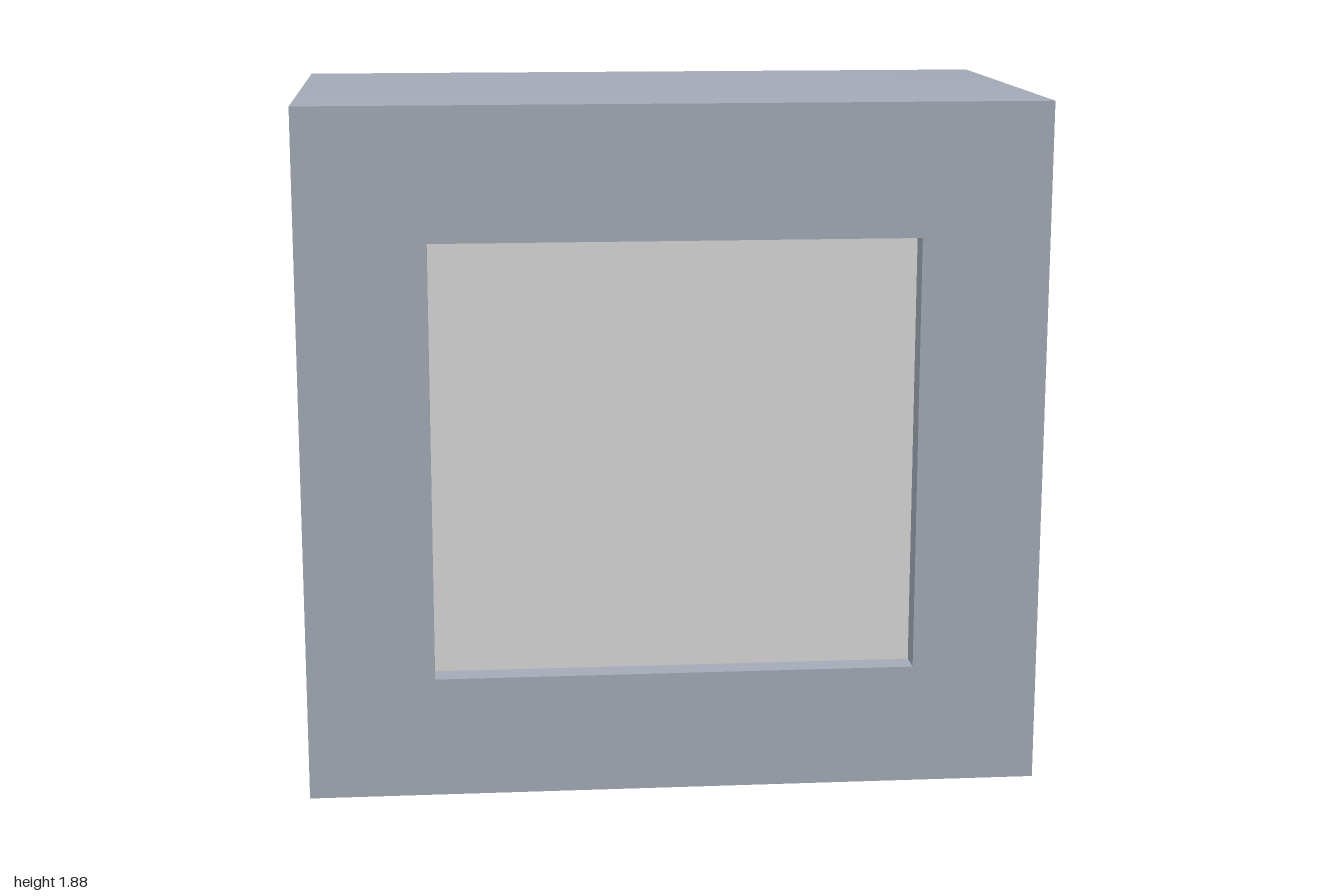
import * as THREE from 'three';

const FRONT = 0.85, STEP = -0.25, LIP = 0.09;

// Rectangle corners at depth z: top left, top right, bottom right, bottom left
const ring = (z, w, y0, y1) => [[-w, y1, z], [w, y1, z], [w, y0, z], [-w, y0, z]];

// Strip through one edge of successive rings, smooth along its length
function strip(rings, i, j) {
  const pos = [], index = [];
  rings.forEach((r, k) => {
    pos.push(...r[i], ...r[j]);
    if (k) {
      const a = 2 * k - 2;
      index.push(a, a + 1, a + 2, a + 1, a + 3, a + 2);
    }
  });
  const g = new THREE.BufferGeometry();
  g.setAttribute('position', new THREE.Float32BufferAttribute(pos, 3));
  g.setIndex(index);
  g.computeVertexNormals();
  return g;
}

export function createModel() {
  const casing = new THREE.MeshStandardMaterial({ name: 'casing grey', color: 0xa3aab6, side: THREE.DoubleSide });
  const glass = new THREE.MeshStandardMaterial({ name: 'screen grey', color: 0xd6d6d6, side: THREE.DoubleSide });
  const model = new THREE.Group();
  model.name = 'monitor';
  const add = (name, geometry, material = casing) => {
    const m = new THREE.Mesh(geometry, material);
    m.name = name;
    model.add(m);
    return m;
  };

  // Shell tapering towards the back; underside is open ahead of the step
  const shell = [
    ring(FRONT, 1, LIP, 1.88), ring(STEP, 1, LIP, 1.88),
    ring(-0.58, 0.89, 0.19, 1.78), ring(-0.85, 0.69, 0.365, 1.605),
  ];
  ['top', 'leftSide', 'underside', 'rightSide'].forEach((name, i) =>
    add(name, strip(name === 'underside' ? shell.slice(1) : shell, i, (i + 1) % 4)));

  // Flat back panel
  add('backPanel', new THREE.PlaneGeometry(1.38, 1.24).rotateY(Math.PI).translate(0, 0.985, -0.85));

  // Low skirt below the sides and the step
  const skirt = [ring(FRONT, 1, 0, LIP), ring(STEP, 1, 0, LIP)];
  add('leftSkirt', strip(skirt, 1, 2));
  add('rightSkirt', strip(skirt, 3, 0));
  add('stepWall', new THREE.PlaneGeometry(2, LIP).rotateY(Math.PI).translate(0, LIP / 2, STEP));

  // Front bezel with the screen opening
  const points = (r) => r.map(([x, y]) => new THREE.Vector2(x, y));
  const opening = ring(FRONT, 0.655, 0.33, 1.52);
  const bezel = new THREE.Shape(points(ring(FRONT, 1, 0, 1.88)));
  bezel.holes.push(new THREE.Path(points(opening)));
  add('bezel', new THREE.ShapeGeometry(bezel).translate(0, 0, FRONT));

  // Recess walls and the screen behind the bezel
  const inner = ring(FRONT - 0.07, 0.655, 0.33, 1.52);
  for (let i = 0; i < 4; i++) add('recessWall', strip([opening, inner], (i + 1) % 4, i));
  add('screen', new THREE.PlaneGeometry(1.31, 1.19).translate(0, 0.925, FRONT - 0.07), glass);

  return model;
}
